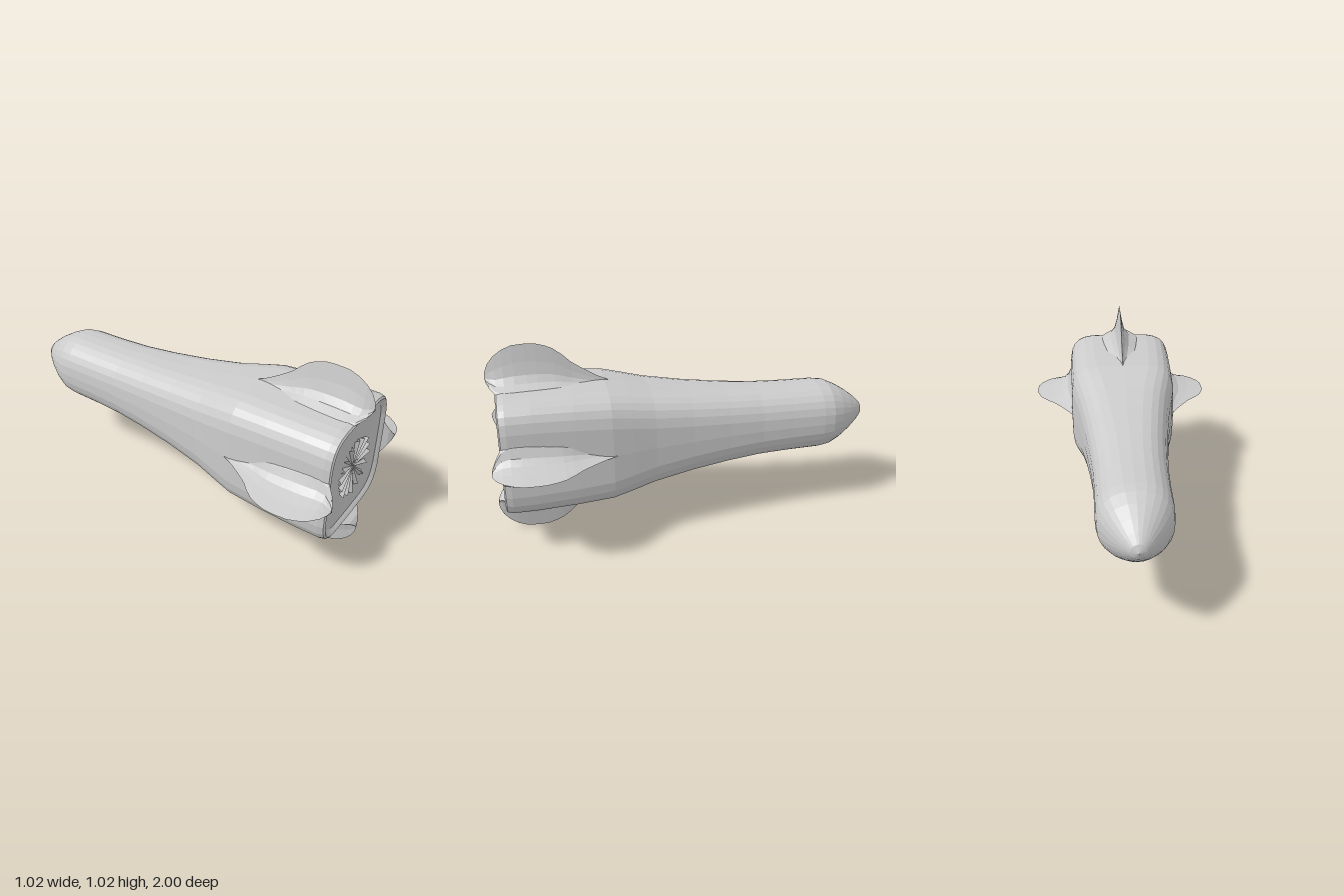
import * as THREE from 'three';

const CENTER_Y = 0.504;
const material = new THREE.MeshStandardMaterial({ color: 0xcccccc, flatShading: true, side: THREE.DoubleSide });

// Skin closed rings of equal length (counter-clockwise seen from +z, ordered towards +z)
function loft(name, rings) {
  const n = rings[0].length;
  const index = [];
  for (let i = 0; i < rings.length - 1; i++) {
    for (let j = 0; j < n; j++) {
      const k = (j + 1) % n;
      const a = i * n + j, b = i * n + k, c = a + n, d = b + n;
      index.push(a, b, d, a, d, c);
    }
  }
  const geometry = new THREE.BufferGeometry();
  geometry.setAttribute('position', new THREE.Float32BufferAttribute(rings.flat(2), 3));
  geometry.setIndex(index);
  geometry.computeVertexNormals();
  const mesh = new THREE.Mesh(geometry, material);
  mesh.name = name;
  return mesh;
}

// Rounded-square ring; a larger power gives squarer corners
function roundedRing(z, radius, power, sides = 28) {
  const bend = (v) => Math.sign(v) * Math.pow(Math.abs(v), 2 / power) * radius;
  return Array.from({ length: sides }, (_, i) => {
    const t = (i / sides) * Math.PI * 2;
    return [bend(Math.cos(t)), bend(Math.sin(t)), z];
  });
}

// Hull: round nose flowing into a squarish tail, then folding into the recessed rear face
function makeHull() {
  const stations = [ // z, half width, corner power
    [-1, 0.001, 2], [-0.985, 0.037, 2], [-0.95, 0.072, 2.05], [-0.9, 0.111, 2.1],
    [-0.84, 0.148, 2.2], [-0.78, 0.174, 2.3], [-0.72, 0.181, 2.4], [-0.55, 0.182, 2.5],
    [-0.38, 0.187, 2.6], [-0.2, 0.201, 2.8], [0, 0.222, 3.1], [0.2, 0.25, 3.5],
    [0.32, 0.274, 3.9], [0.42, 0.292, 4.3], [0.6, 0.299, 4.7], [0.8, 0.303, 5],
    [0.92, 0.303, 5], [0.95, 0.297, 5], [0.957, 0.288, 5], [0.95, 0.277, 5],
    [0.94, 0.265, 4.8], [0.935, 0.14, 3], [0.935, 0.001, 2],
  ];
  return loft('hull', stations.map((s) => roundedRing(...s)));
}

// Fin: thin blade with a concave flare where it meets the hull
function makeFin() {
  const flare = [[0, 1], [0.07, 0.85], [0.16, 0.46], [0.32, 0.25], [0.6, 0.12], [1, 0]];
  const stations = [ // z, root height, tip height, half thickness at root
    [0.4, 0.27, 0.29, 0.005], [0.46, 0.275, 0.32, 0.035], [0.52, 0.28, 0.358, 0.055],
    [0.58, 0.284, 0.4, 0.072], [0.62, 0.286, 0.44, 0.085], [0.665, 0.288, 0.476, 0.095],
    [0.7, 0.288, 0.492, 0.1], [0.75, 0.288, 0.507, 0.108], [0.8, 0.288, 0.509, 0.115],
    [0.86, 0.288, 0.505, 0.12], [0.91, 0.288, 0.485, 0.12], [0.95, 0.292, 0.456, 0.1],
    [0.98, 0.31, 0.42, 0.05], [0.995, 0.33, 0.385, 0.02], [1, 0.35, 0.36, 0.002],
  ];
  return loft('fin', stations.map(([z, low, high, thick]) => {
    const right = flare.map(([f, w]) => [w * thick, low + f * (high - low), z]);
    const left = right.slice(0, -1).reverse().map(([x, y]) => [-x, y, z]);
    return [...right, ...left];
  }));
}

// Nozzle: pleated disc whose raised folds form a star on the rear face
function makeNozzle() {
  const folds = 16;
  const ring = (radius, up, down) => Array.from({ length: folds * 2 }, (_, i) => {
    const t = (i / (folds * 2)) * Math.PI * 2;
    const r = radius * (i % 4 === 0 ? 1 : 0.93);
    return [r * Math.cos(t), r * Math.sin(t), i % 2 ? down : up];
  });
  return loft('nozzle', [ring(0.157, 0.955, 0.916), ring(0.001, 0.937, 0.937)]);
}

export function createModel() {
  const rocket = new THREE.Group();
  rocket.name = 'rocket';
  const body = new THREE.Group();
  body.name = 'body';
  body.position.y = CENTER_Y;
  body.add(makeHull(), makeNozzle());

  // Four fins around the tail
  const names = ['topFin', 'rightFin', 'bottomFin', 'leftFin'];
  names.forEach((name, i) => {
    const fin = makeFin();
    fin.name = name;
    fin.rotation.z = (i * Math.PI) / 2;
    body.add(fin);
  });
  rocket.add(body);
  return rocket;
}
